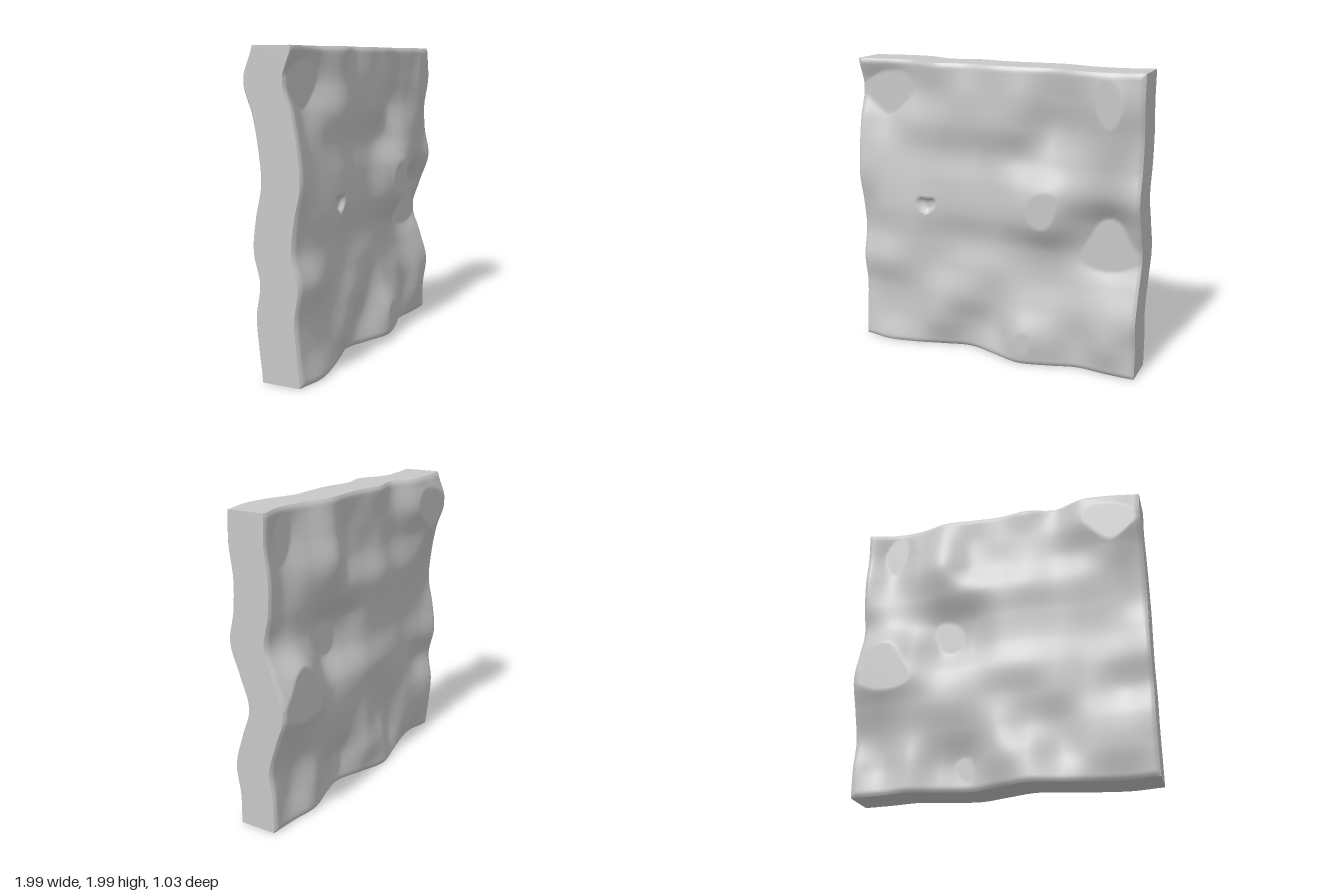
import * as THREE from 'three';

// Wave offsets of the slab: rows go bottom to top, columns left to right
const WAVES = [
  [0.04, 0.075, 0.05, 0.0, -0.04, 0.02, 0.085, 0.05, 0.0, 0.02, 0.03],
  [0.02, 0.03, 0.03, 0.05, -0.02, -0.02, 0.092, 0.065, 0.0, 0.06, 0.03],
  [0.005, 0.025, 0.025, 0.05, 0.03, -0.01, 0.03, 0.02, 0.01, 0.05, 0.055],
  [0.03, 0.065, 0.04, 0.01, 0.01, 0.0, -0.005, -0.02, -0.025, -0.015, 0.0],
  [-0.01, 0.03, 0.04, 0.005, -0.02, -0.02, 0.0, 0.0, -0.06, -0.095, -0.06],
  [0.01, 0.04, 0.05, 0.035, 0.015, 0.015, 0.07, 0.095, -0.01, -0.085, 0.0],
  [0.05, 0.03, 0.03, 0.03, 0.01, 0.01, 0.065, 0.095, 0.06, 0.025, 0.065],
  [0.035, 0.0, 0.0, 0.01, -0.015, -0.01, -0.015, 0.005, 0.04, 0.05, 0.03],
  [0.0, -0.05, 0.0, 0.035, 0.02, 0.035, 0.025, -0.045, 0.02, 0.08, 0.02],
  [-0.06, -0.1, -0.055, 0.02, 0.025, 0.035, 0.045, -0.01, 0.05, 0.11, 0.045],
  [0.0, -0.03, -0.035, 0.045, 0.005, 0.035, 0.03, 0.02, 0.075, 0.085, 0.04],
];
const SIZE = 1.985, HALF = 0.14, SEGMENTS = 140;

// Catmull-Rom interpolation through a row of values, t from 0 to 1
function spline(values, t) {
  const last = values.length - 1;
  const s = Math.min(Math.max(t, 0), 1) * last;
  const i = Math.min(Math.floor(s), last - 1), f = s - i;
  const p = (k) => values[Math.min(Math.max(k, 0), last)];
  const [a, b, c, d] = [p(i - 1), p(i), p(i + 1), p(i + 2)];
  return b + 0.5 * f * (c - a + f * (2 * a - 5 * b + 4 * c - d + f * (3 * (b - c) + d - a)));
}

// Sheet offset, flattened at its highest peaks and deepest valleys
function wave(u, v) {
  const column = WAVES.map((row) => spline(row, u / SIZE + 0.5));
  return Math.min(0.09, Math.max(-0.058, spline(column, v / SIZE + 0.5)));
}

// Small two-lobed hollow on the front face
function dent(u, v) {
  const px = (u + 0.48) / 0.07, py = (v - 0.025) / 0.05;
  const f = px * px + (py - 0.6 * Math.abs(px)) ** 2;
  return f < 1 ? 0.03 * (1 - f) * (1 + f) : 0;
}

export function createModel() {
  const group = new THREE.Group();
  group.name = 'wavySlab';
  const stone = new THREE.MeshStandardMaterial({ color: 0xc8c8c8 });
  stone.name = 'grey stone';

  // One box bent into a rippled sheet of even thickness
  const geometry = new THREE.BoxGeometry(SIZE, SIZE, 2 * HALF, SEGMENTS, SEGMENTS, 1);
  const pos = geometry.attributes.position;
  for (let i = 0; i < pos.count; i++) {
    const u = pos.getX(i), v = pos.getY(i), side = Math.sign(pos.getZ(i));
    const edge = SIZE / 2 - Math.max(Math.abs(u), Math.abs(v));
    const bevel = 0.015 * Math.max(0, 1 - edge / 0.03) ** 2;
    const hollow = side > 0 ? dent(u, v) : 0;
    pos.setZ(i, wave(u, v) + side * (HALF - bevel) - hollow);
  }
  geometry.computeVertexNormals();

  const slab = new THREE.Mesh(geometry, stone);
  slab.name = 'slab';
  slab.position.y = SIZE / 2;
  slab.rotation.y = THREE.MathUtils.degToRad(20);
  group.add(slab);
  return group;
}
